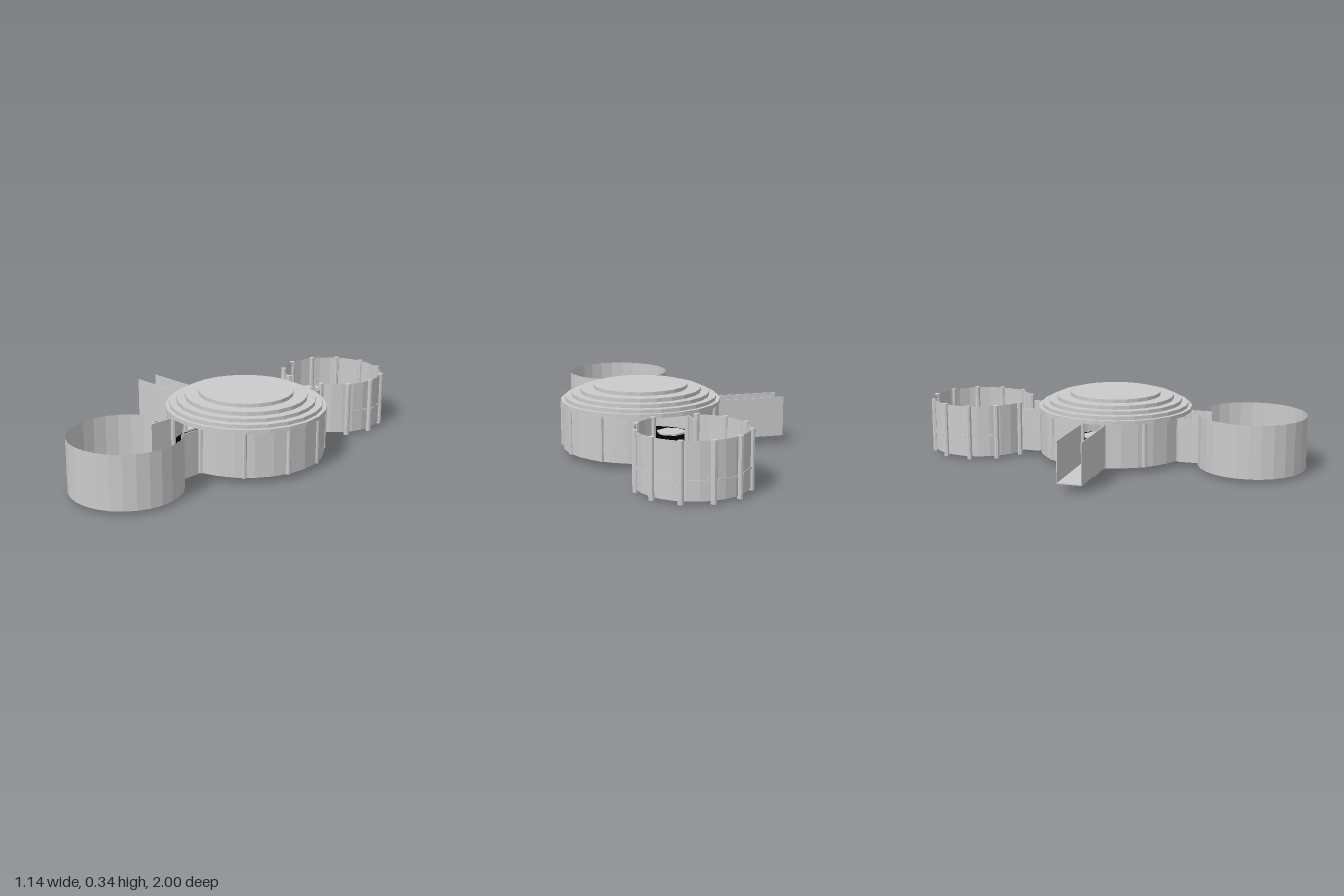
import * as THREE from 'three';

const grey = new THREE.MeshStandardMaterial({ color: 0xcccccc, flatShading: true, side: THREE.DoubleSide });
const black = new THREE.MeshStandardMaterial({ color: 0x000000, side: THREE.DoubleSide });
const PI = Math.PI;

function add(parent, name, geometry, x, y, z, material = grey) {
  const mesh = new THREE.Mesh(geometry, material);
  mesh.name = name;
  mesh.position.set(x, y, z);
  parent.add(mesh);
  return mesh;
}

// Upright prism between two heights
function disc(parent, name, x, z, r, y0, y1, sides, material, rBottom = r) {
  return add(parent, name, new THREE.CylinderGeometry(r, rBottom, y1 - y0, sides), x, (y0 + y1) / 2, z, material);
}

// Box given by its limits
function box(parent, name, x0, x1, y0, y1, z0, z1) {
  return add(parent, name, new THREE.BoxGeometry(x1 - x0, y1 - y0, z1 - z0),
    (x0 + x1) / 2, (y0 + y1) / 2, (z0 + z1) / 2);
}

// Thin curved wall; angles run from +z towards +x
function wall(parent, name, x, z, r, y0, y1, a0, a1) {
  const sides = Math.max(2, Math.round((a1 - a0) / (PI / 14)));
  add(parent, name, new THREE.CylinderGeometry(r, r, y1 - y0, sides, 1, true, a0, a1 - a0), x, (y0 + y1) / 2, z);
}

function createHub() {
  const hub = new THREE.Group();
  hub.name = 'hub';
  const cx = 0.17;
  disc(hub, 'hubFloor', cx, 0, 0.385, 0.03, 0.036, 28, black);

  // Walls with three doorways
  const doors = [[0.176, PI - 0.176], [PI + 0.357, 1.5 * PI - 0.15], [1.5 * PI + 0.15, 2 * PI - 0.357]];
  for (const [a0, a1] of doors) wall(hub, 'hubWall', cx, 0, 0.392, 0.03, 0.25, a0, a1);

  // Wall posts, mirrored front to back
  for (const side of [-1, 1]) {
    for (const deg of [15, 47, 79, 110, 142, 172]) {
      const a = deg * PI / 180;
      disc(hub, 'hubPost', cx + 0.39 * Math.cos(a), side * 0.39 * Math.sin(a), 0.012, 0.03, 0.25, 8);
    }
  }

  // Stepped roof
  const steps = [[0.4, 0.25, 0.27], [0.38, 0.27, 0.288], [0.345, 0.288, 0.306], [0.303, 0.306, 0.325], [0.235, 0.325, 0.343]];
  for (const [r, y0, y1] of steps) disc(hub, 'roofStep', cx, 0, r, y0, y1, 24);

  // Hexagonal feet passing through the floor and the central plate
  for (const sx of [-1, 1]) for (const sz of [-1, 1]) {
    const x = cx + sx * 0.21, z = sz * 0.17;
    disc(hub, 'foot', x, z, 0.08, 0.022, 0.045, 6);
    disc(hub, 'footTip', x, z, 0.078, 0.01, 0.022, 6, grey, 0.058);
  }
  disc(hub, 'centrePlate', cx, 0, 0.11, 0.024, 0.042, 10);
  return hub;
}

// Short passage between hub and a round room
function createPassage(side) {
  const group = new THREE.Group();
  group.name = 'passage';
  const z0 = Math.min(side * 0.37, side * 0.5), z1 = Math.max(side * 0.37, side * 0.5);
  box(group, 'passageFloor', 0.03, 0.24, 0.025, 0.032, z0, z1);
  for (const x of [0.03, 0.24]) box(group, 'passageWall', x - 0.003, x + 0.003, 0.028, 0.248, z0, z1);
  return group;
}

function createFrontRoom() {
  const room = new THREE.Group();
  room.name = 'frontRoom';
  disc(room, 'frontRoomFloor', 0.113, 0.73, 0.268, 0.015, 0.021, 30);
  wall(room, 'frontRoomWall', 0.113, 0.73, 0.27, 0.015, 0.28, -(PI - 0.313), PI - 0.49);
  return room;
}

function createBackRoom() {
  const room = new THREE.Group();
  room.name = 'backRoom';
  const cx = 0.119, cz = -0.725;
  disc(room, 'backRoomFloor', cx, cz, 0.258, 0.013, 0.019, 30);
  wall(room, 'backRoomWall', cx, cz, 0.26, 0.013, 0.277, 0.46, 2 * PI - 0.37);

  // Posts around the wall, with seats between them
  const angle = k => (-63 + 31.2 * k) * PI / 180;
  for (let k = 0; k <= 10; k++) {
    disc(room, 'roomPost', cx + 0.262 * Math.cos(angle(k)), cz - 0.262 * Math.sin(angle(k)), 0.014, 0, 0.28, 8);
  }
  for (let k = 1; k <= 8; k++) {
    const a = angle(k + 0.5);
    const z = cz - 0.233 * Math.sin(a);
    const seat = add(room, 'seat', new THREE.BoxGeometry(0.055, 0.01, 0.1),
      cx + 0.233 * Math.cos(a), 0.12 + (z + 0.7) * 0.07, z);
    seat.rotation.y = a;
  }
  return room;
}

function createEntrance() {
  const entrance = new THREE.Group();
  entrance.name = 'entrance';
  box(entrance, 'entranceFloor', -0.575, -0.2, 0.04, 0.046, -0.06, 0.06);
  box(entrance, 'entranceStep', -0.375, -0.2, 0.03, 0.04, -0.06, 0.06);
  for (const z of [-0.06, 0.06]) box(entrance, 'entranceWall', -0.575, -0.215, 0.04, 0.245, z - 0.002, z + 0.002);
  return entrance;
}

export function createModel() {
  const model = new THREE.Group();
  model.name = 'station';
  model.add(createHub(), createPassage(1), createPassage(-1), createFrontRoom(), createBackRoom(), createEntrance());
  return model;
}
